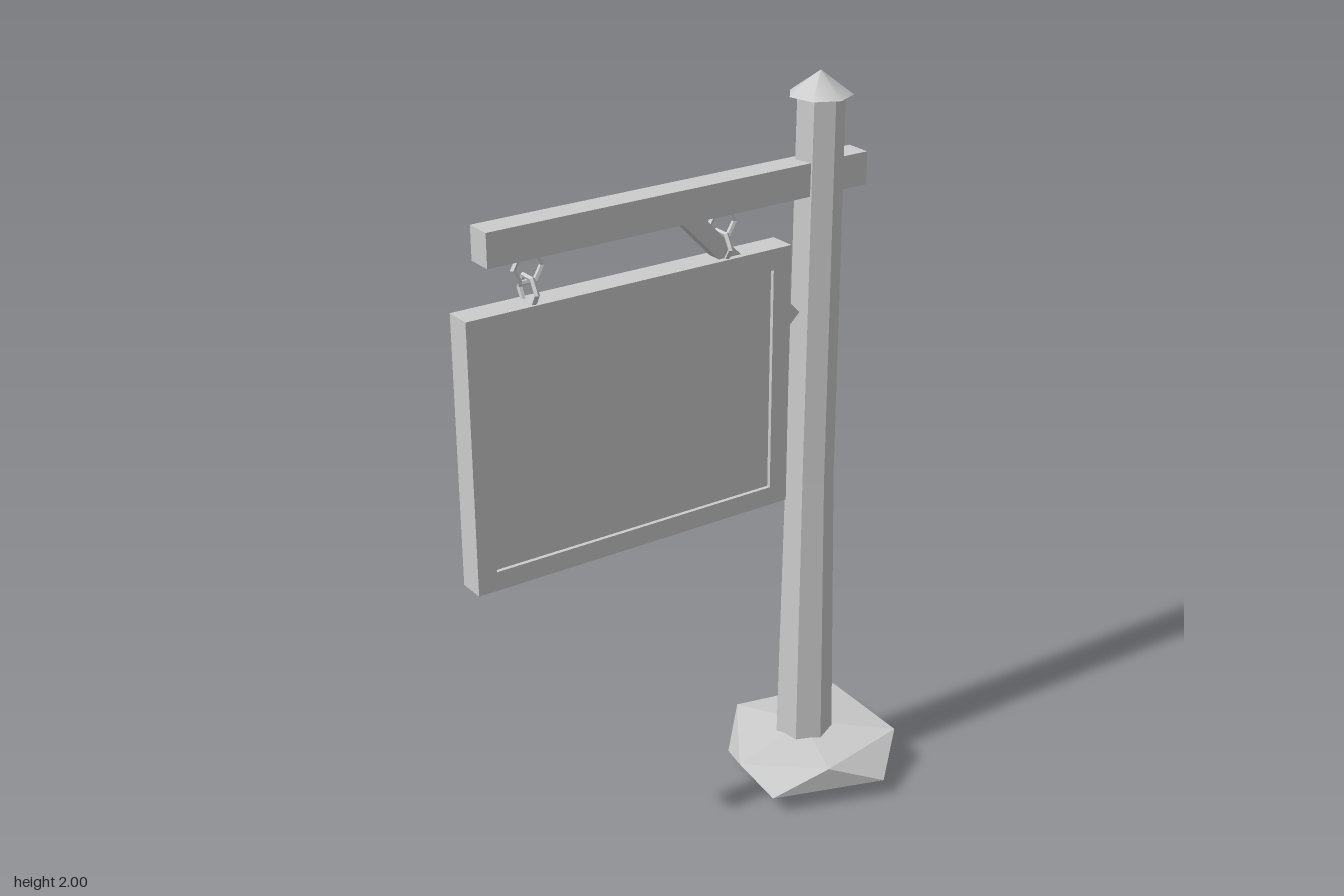
import * as THREE from 'three';

const POST_X = 0.398, MID_Z = -0.018;

export function createModel() {
  const model = new THREE.Group();
  model.name = 'hangingSignpost';
  const grey = new THREE.MeshStandardMaterial({ color: 0xcccccc });
  grey.name = 'light grey';

  const add = (name, geometry, x, y, z = MID_Z) => {
    const mesh = new THREE.Mesh(geometry, grey);
    mesh.name = name;
    mesh.position.set(x, y, z);
    model.add(mesh);
    return mesh;
  };
  const flat = (geometry) => {
    const g = geometry.index ? geometry.toNonIndexed() : geometry;
    g.computeVertexNormals();
    return g;
  };

  // Seven-sided post, tapered, with a slight waist halfway up
  const postGeo = new THREE.CylinderGeometry(0.062, 0.083, 1.945, 7, 2);
  const p = postGeo.attributes.position;
  for (let i = 0; i < p.count; i++) {
    if (Math.abs(p.getY(i)) < 0.01) {
      const s = 0.0665 / 0.0725;
      p.setXYZ(i, p.getX(i) * s - 0.005, -0.05, p.getZ(i) * s);
    }
  }
  add('post', flat(postGeo), POST_X, 0.9725);

  // Pointed cap
  add('postCap', new THREE.ConeGeometry(0.082, 0.06, 7), POST_X, 1.97);

  // Faceted base stone: two staggered rings [x, z] closed by centre points
  const upper = [[0.334, 0.18], [0.612, 0.126], [0.626, -0.166], [0.327, -0.233], [0.15, 0.02]];
  const lower = [[0.49, 0.23], [0.616, -0.016], [0.455, -0.19], [0.226, -0.136], [0.186, 0.126]];
  const U = upper.map(([x, z]) => [x, 0.12, z]);
  const L = lower.map(([x, z]) => [x, 0.052, z]);
  const top = [POST_X, 0.151, MID_Z], bottom = [POST_X, 0.05, MID_Z];
  const corners = [];
  for (let i = 0; i < 5; i++) {
    const j = (i + 1) % 5;
    corners.push(top, U[i], U[j], U[i], L[i], U[j], L[i], L[j], U[j], bottom, L[j], L[i]);
  }
  const stone = new THREE.BufferGeometry();
  stone.setAttribute('position', new THREE.Float32BufferAttribute(corners.flat(), 3));
  add('baseStone', flat(stone), 0, 0, 0);

  // Crossbeam through the post
  add('crossbeam', new THREE.BoxGeometry(1.09, 0.085, 0.07), -0.021, 1.7405);

  // Diagonal brace from beam to post
  const from = new THREE.Vector2(-0.02, 1.724), to = new THREE.Vector2(0.317, 1.378);
  const brace = add('brace', new THREE.BoxGeometry(from.distanceTo(to), 0.047, 0.04),
    (from.x + to.x) / 2, (from.y + to.y) / 2);
  brace.rotation.z = Math.atan2(to.y - from.y, to.x - from.x);

  // Sign board: open frame around a recessed panel
  const rect = (Type, x0, y0, x1, y1) => new Type([
    new THREE.Vector2(x0, y0), new THREE.Vector2(x1, y0),
    new THREE.Vector2(x1, y1), new THREE.Vector2(x0, y1)]);
  const frame = rect(THREE.Shape, -0.628, 0.886, 0.291, 1.585);
  frame.holes.push(rect(THREE.Path, -0.577, 0.936, 0.238, 1.53));
  const frameGeo = new THREE.ExtrudeGeometry(frame, { depth: 0.072, bevelEnabled: false });
  add('signFrame', frameGeo, 0, 0, MID_Z - 0.036);
  add('signPanel', new THREE.BoxGeometry(0.815, 0.594, 0.05), -0.1695, 1.233);

  // Pairs of interlocked six-sided links
  for (const [side, x] of [['right', -0.442], ['left', 0.104]]) {
    const ring = () => flat(new THREE.TorusGeometry(0.039, 0.007, 5, 6));
    add(side + 'UpperLink', ring(), x, 1.667);
    add(side + 'LowerLink', ring(), x, 1.61).rotation.y = Math.PI / 2;
  }
  return model;
}
